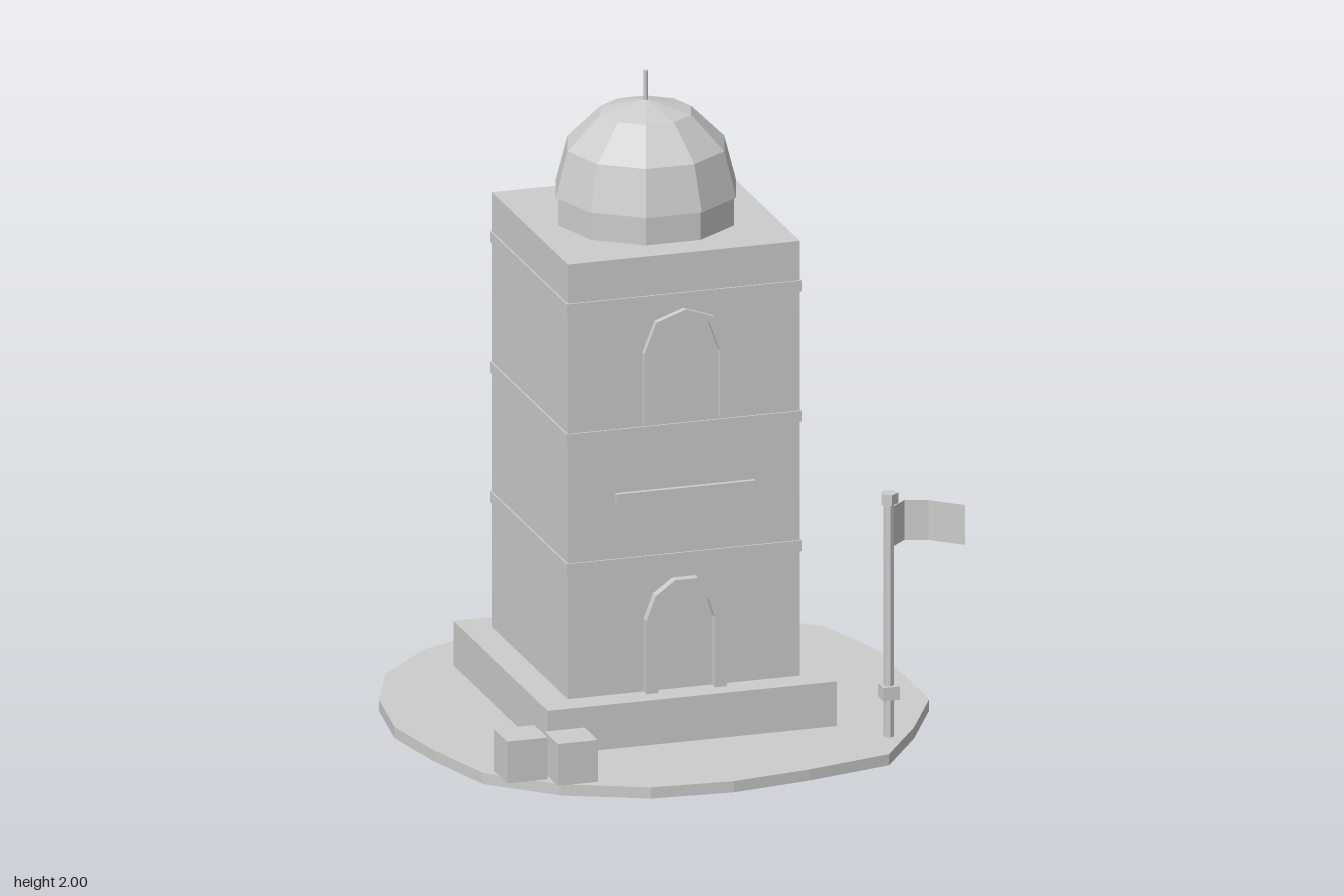
import * as THREE from 'three';

export function createModel() {
  const model = new THREE.Group();
  model.name = 'domedTower';
  const stone = new THREE.MeshStandardMaterial({ color: 0xcccccc, flatShading: true });
  stone.name = 'grey stone';
  const cloth = new THREE.MeshStandardMaterial({ color: 0xcccccc, flatShading: true, side: THREE.DoubleSide });
  cloth.name = 'grey cloth';

  const add = (name, geometry, x = 0, y = 0, z = 0, material = stone) => {
    const mesh = new THREE.Mesh(geometry, material);
    mesh.name = name;
    mesh.position.set(x, y, z);
    model.add(mesh);
    return mesh;
  };
  // Box given by its extents along each axis
  const box = (name, x0, x1, y0, y1, z0, z1) =>
    add(name, new THREE.BoxGeometry(x1 - x0, y1 - y0, z1 - z0), (x0 + x1) / 2, (y0 + y1) / 2, (z0 + z1) / 2);
  const toShape = (points) => new THREE.Shape(points.map(([x, y]) => new THREE.Vector2(x, y)));

  // Irregular ground slab, outline as x, z
  const outline = [
    [0.002, 0.807], [0.253, 0.77], [0.523, 0.705], [0.673, 0.485], [0.799, 0.244], [0.8, 0], [0.797, -0.263],
    [0.715, -0.522], [0.502, -0.683], [0.262, -0.794], [0.002, -0.809], [-0.248, -0.789], [-0.485, -0.678],
    [-0.667, -0.492], [-0.764, -0.257], [-0.8, 0.002], [-0.758, 0.244], [-0.685, 0.5], [-0.498, 0.675], [-0.252, 0.787],
  ];
  const slab = new THREE.ExtrudeGeometry(toShape(outline.map(([x, z]) => [x, -z])), { depth: 0.035, bevelEnabled: false });
  slab.rotateX(-Math.PI / 2);
  add('groundSlab', slab);

  // Plinth, tower and raised bands
  box('plinth', -0.45, 0.459, 0.035, 0.175, -0.505, 0.401);
  box('towerBody', -0.358, 0.37, 0.175, 1.54, -0.415, 0.313);
  for (const y of [0.584, 0.991, 1.4]) {
    box('band', -0.363, 0.375, y - 0.017, y + 0.017, -0.421, 0.319);
  }
  box('frontLedge', -0.21, 0.227, 0.766, 0.807, 0.3, 0.328);

  // Arch frames: half profiles from foot to crown, mirrored
  const arch = (name, outer, inner, zFront) => {
    const mirror = (half) => [
      ...half,
      ...half.filter(([x]) => x > 0).reverse().map(([x, y]) => [-x, y]),
    ];
    const points = [...mirror(outer), ...mirror(inner).reverse()];
    const geometry = new THREE.ExtrudeGeometry(toShape(points), { depth: zFront - 0.3, bevelEnabled: false });
    add(name, geometry, 0.006, 0, 0.3);
  };
  arch('doorFrame',
    [[0.126, 0.175], [0.126, 0.405], [0.097, 0.48], [0.036, 0.524]],
    [[0.089, 0.175], [0.089, 0.395], [0.07, 0.453], [0.027, 0.493]], 0.342);
  arch('windowFrame',
    [[0.13, 1.018], [0.13, 1.24], [0.092, 1.336], [0, 1.368]],
    [[0.108, 1.018], [0.108, 1.228], [0.074, 1.32], [0, 1.35]], 0.333);

  // Ten-sided drum, dome and spire
  const cx = 0.006, cz = -0.051;
  add('drum', new THREE.CylinderGeometry(0.276, 0.276, 0.088, 10, 1, false, Math.PI / 2), cx, 1.584, cz);
  const profile = [[0, 1.628], [0.283, 1.628], [0.246, 1.77], [0.142, 1.874], [0, 1.91]];
  add('dome', new THREE.LatheGeometry(profile.map(([r, y]) => new THREE.Vector2(r, y)), 10, Math.PI / 2), cx, 0, cz);
  add('spire', new THREE.CylinderGeometry(0.007, 0.007, 0.1, 6), cx, 1.95, cz);

  // Flagpole with collar and cap
  const px = 0.576, pz = 0.54;
  add('flagPole', new THREE.CylinderGeometry(0.016, 0.016, 0.75, 6), px, 0.41, pz);
  add('poleCollar', new THREE.BoxGeometry(0.052, 0.042, 0.052), px, 0.175, pz);
  add('poleCap', new THREE.CylinderGeometry(0.028, 0.028, 0.033, 5), px, 0.783, pz);

  // Waving flag: thin sheet following a path in x, z
  const wave = [[0.585, 0.545], [0.64, 0.492], [0.709, 0.515], [0.73, 0.535], [0.797, 0.593]];
  const flag = new THREE.PlaneGeometry(1, 0.125, wave.length - 1, 1);
  const pos = flag.attributes.position;
  for (let i = 0; i < pos.count; i++) {
    const [x, z] = wave[i % wave.length];
    pos.setX(i, x);
    pos.setZ(i, z);
  }
  flag.computeVertexNormals();
  add('flag', flag, 0, 0.692, 0, cloth);

  // Two crates at the slab's edge
  for (const [x, z] of [[-0.586, 0.56], [-0.45, 0.629]]) {
    box('crate', x - 0.063, x + 0.063, 0.037, 0.168, z - 0.063, z + 0.063);
  }
  return model;
}
